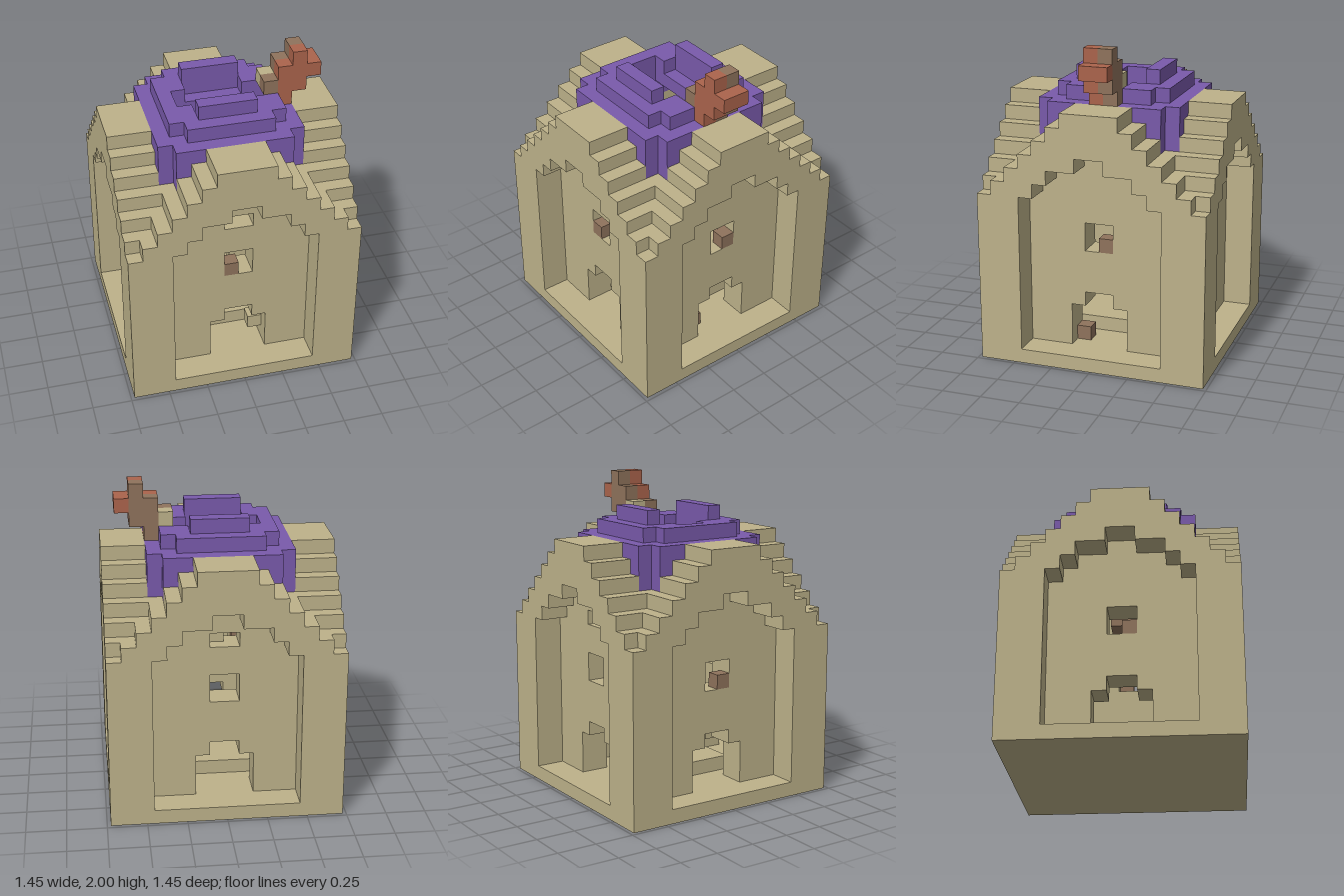
import * as THREE from 'three';

const U = 1 / 11; // size of one block

export function createModel() {
  const group = new THREE.Group();
  const mat = (name, color) => {
    const m = new THREE.MeshStandardMaterial({ color });
    m.name = name;
    return m;
  };
  const sand = mat('sandstone', 0xbdb28a);
  const purple = mat('purple roof', 0x795aab);
  const red = mat('red metal', 0xab644c);
  const brown = mat('rusty brown', 0x8f735c);

  // box from min and max corners, in blocks
  function box(name, m, x0, x1, y0, y1, z0, z1, parent = group) {
    const g = new THREE.BoxGeometry((x1 - x0) * U, (y1 - y0) * U, (z1 - z0) * U);
    const mesh = new THREE.Mesh(g, m);
    mesh.position.set((x0 + x1) / 2 * U, (y0 + y1) / 2 * U, (z0 + z1) / 2 * U);
    mesh.name = name;
    parent.add(mesh);
    return mesh;
  }

  const pts = (list) => list.map(([x, y]) => new THREE.Vector2(x * U, y * U));
  const mirrored = (half) => half.concat(half.map(([x, y]) => [-x, y]).reverse());
  const rect = (x0, x1, y0, y1) => [[x0, y0], [x1, y0], [x1, y1], [x0, y1]];

  // upright slab with holes, from z0 to z1
  function slab(name, outline, holes, z0, z1, parent) {
    const shape = new THREE.Shape(pts(outline));
    holes.forEach((h) => shape.holes.push(new THREE.Path(pts(h))));
    const g = new THREE.ExtrudeGeometry(shape, { depth: (z1 - z0) * U, bevelEnabled: false });
    g.translate(0, 0, z0 * U);
    const mesh = new THREE.Mesh(g, sand);
    mesh.name = name;
    parent.add(mesh);
  }

  // stepped gable outline of a given half width
  function gable(width) {
    const half = [[width, 0]];
    for (let x = width; x > 2; x--) half.push([x, 20 - x], [x - 1, 20 - x]);
    half.push([2, 18]);
    return mirrored(half);
  }

  const arch = mirrored([[5, 1], [5, 12], [4, 12], [4, 13], [3, 13], [3, 14], [1, 14], [1, 15]]);
  const door = mirrored([[2, 1], [2, 4], [1, 4], [1, 5]]);
  const window_ = rect(-1, 1, 8, 10);
  const vent = rect(-1, 1, 12, 13);

  // four gabled sides, each with a recessed arch
  for (let i = 0; i < 4; i++) {
    const side = new THREE.Group();
    side.name = ['frontSide', 'leftSide', 'backSide', 'rightSide'][i];
    side.rotation.y = i * Math.PI / 2;
    const holes = i % 2 ? [door, window_] : [door, window_, vent];
    slab('archFrame', gable(8), [arch], 6, 8, side);
    slab('gableWall', gable(6), holes, 5, 6, side);
    slab('innerWall', rect(-5, 5, 0, 15), holes, 4, 5, side);
    box('roofEdge', purple, -4, 4, 15, 18, 4, 5, side);
    if (i !== 2) box('windowBlock', brown, i === 0 ? -1 : 0, i === 0 ? 0 : 1, 8, 9, 5, 6, side);
    group.add(side);
  }

  // floor and loose blocks
  box('base', sand, -8, 8, 0, 1, -8, 8);
  box('floor', sand, -3, 3, 1, 2, -3, 3);
  box('doorRubble', sand, 1, 2, 2, 3, 4, 5);
  box('doorBlock', brown, 4, 5, 1, 2, 1, 2);
  box('ventBlock', sand, 0, 1, 12, 13, -5, -4);

  // stepped dome with a slot along the middle
  for (const s of [-1, 1]) {
    const strip = (name, x0, x1, y0, y1, za, zb) =>
      box(name, purple, x0, x1, y0, y1, Math.min(s * za, s * zb), Math.max(s * za, s * zb));
    strip('domeLower', -4, 4, 17, 18, 1, 4);
    strip('domeMiddle', -4, 4, 18, 19, 2, 3);
    strip('domeShoulder', -3, 3, 18, 19, 3, 4);
    strip('domeTop', -2, 2, 19, 20, 2, 3);
    strip('domeInner', -4, -2, 18, 19, 1, 2);
    strip('domeInner', 2, 4, 18, 19, 1, 2);
  }
  box('domeEnd', purple, -4, -3, 17, 19, -1, 1);

  // sword driven through the roof: column x, then pairs of bottom and top
  const sword = new THREE.Group();
  sword.name = 'sword';
  const columns = [
    [-3, [10, 11]], [-2, [10, 12]], [-1, [11, 12]], [0, [11, 13]], [1, [12, 14]],
    [2, [13, 16]], [3, [15, 17], [19, 20]], [4, [18, 21]], [5, [19, 22]], [6, [20, 21]],
  ];
  const paint = { B: brown, R: red, T: sand };
  const rows = ['BBTBBTTBBR', 'BTBRBBBRRR']; // back row, front row
  rows.forEach((row, r) => columns.forEach(([x, ...runs], i) => {
    for (const [y0, y1] of runs) box('swordBlock', paint[row[i]], x, x + 1, y0, y1, r - 1, r, sword);
  }));
  group.add(sword);

  return group;
}
